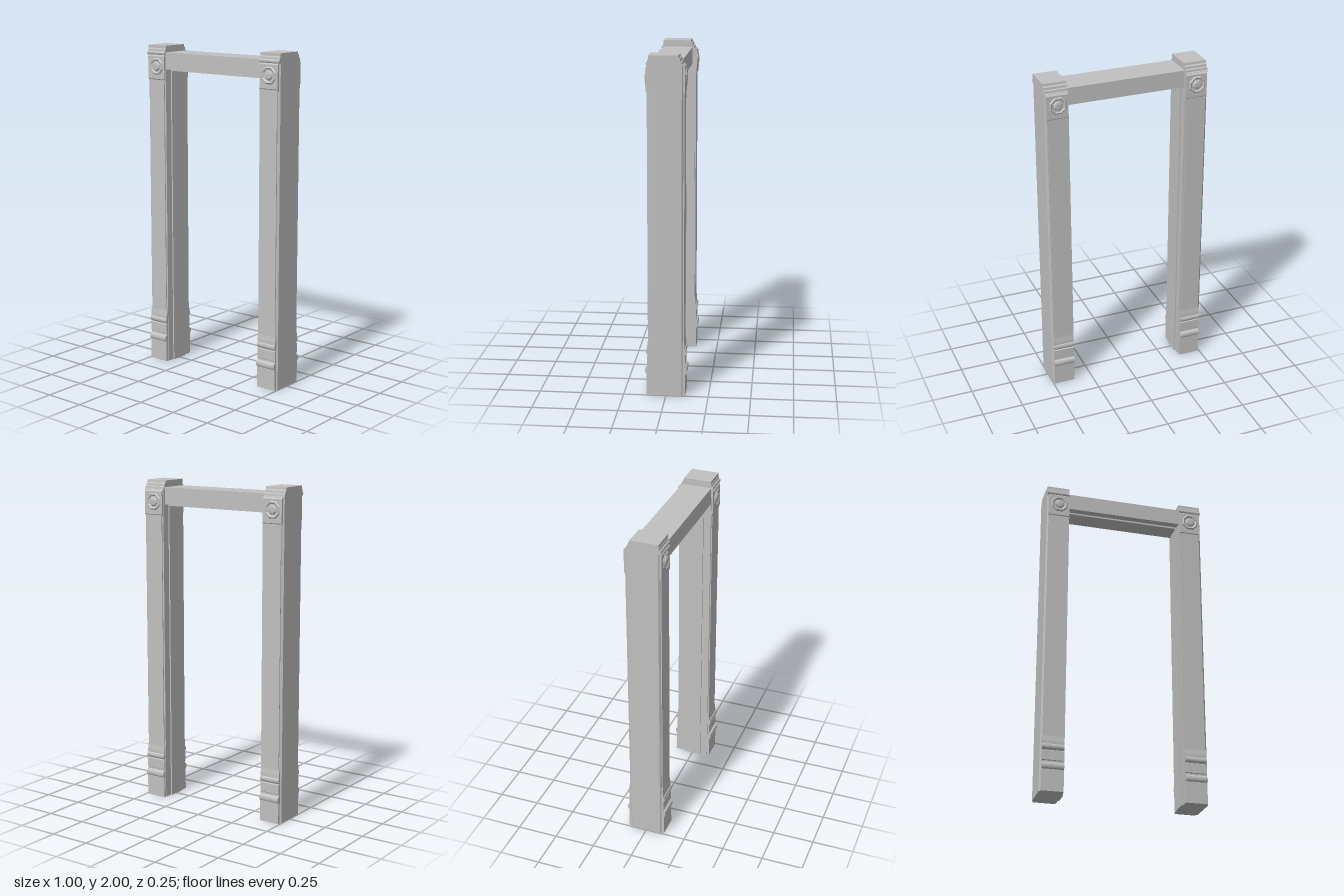
import * as THREE from 'three';

const paint = new THREE.MeshStandardMaterial({ color: 0xc0c0c0 });
paint.name = 'grey paint';

function add(parent, name, geometry, x = 0, y = 0, z = 0) {
  const mesh = new THREE.Mesh(geometry, paint);
  mesh.name = name;
  mesh.position.set(x, y, z);
  parent.add(mesh);
  return mesh;
}

function extrude(points, depth) {
  const shape = new THREE.Shape(points.map(([a, b]) => new THREE.Vector2(a, b)));
  return new THREE.ExtrudeGeometry(shape, { depth, bevelEnabled: false });
}

// Sweep a (z, y) side profile along x, centred on x = 0
function moulding(points, width) {
  return extrude(points, width).rotateY(-Math.PI / 2).translate(width / 2, 0, 0);
}

// Half-round bulge from low to high on a face at depth z
function roll(z, low, high, bulge) {
  const points = [];
  for (let i = 0; i <= 8; i++) {
    const a = Math.PI * i / 8;
    points.push([z + bulge * Math.sin(a), (low + high) / 2 - Math.cos(a) * (high - low) / 2]);
  }
  return points;
}

// Ornament on one face of a post, facing +z
function faceTrim() {
  const face = new THREE.Group();
  add(face, 'shaftPanel', new THREE.BoxGeometry(0.118, 1.52, 0.016), 0, 1.03, 0.098);
  add(face, 'plinthMoulding', moulding([
    [0.09, 0], [0.114, 0], [0.114, 0.127],
    ...roll(0.114, 0.13, 0.168, 0.01),
    [0.108, 0.172], [0.108, 0.182], [0.112, 0.185], [0.112, 0.242],
    [0.106, 0.246], [0.108, 0.25],
    ...roll(0.11, 0.252, 0.282, 0.008),
    [0.11, 0.3], [0.105, 0.34], [0.09, 0.34],
  ], 0.13));
  add(face, 'cornerBlock', moulding([
    [0.09, 1.782], [0.105, 1.782], [0.106, 1.792], [0.11, 1.796],
    [0.11, 1.935], [0.102, 1.943], [0.09, 1.943],
  ], 0.13));

  // Octagonal rosette: raised ring, hollow, and centre button
  const rosette = new THREE.LatheGeometry([
    [0.054, 0], [0.054, 0.002], [0.046, 0.008], [0.036, 0.002],
    [0.029, 0.002], [0.024, 0.008], [0.014, 0.01], [0, 0.01],
  ].map(([r, h]) => new THREE.Vector2(r, h)), 8).toNonIndexed();
  rosette.computeVertexNormals();
  rosette.rotateX(Math.PI / 2).rotateZ(Math.PI / 8);
  add(face, 'rosette', rosette, 0.003, 1.873, 0.1095);
  return face;
}

function createPost(side) {
  const post = new THREE.Group();
  post.name = side > 0 ? 'leftPost' : 'rightPost';

  // Main body with chamfered outer corners
  const plan = [[0.358, -0.1], [0.49, -0.1], [0.5, -0.092], [0.5, 0.092], [0.49, 0.1], [0.358, 0.1]]
    .map(([x, z]) => [side * x, -z]);
  add(post, 'postBody', extrude(plan, 1.945).rotateX(-Math.PI / 2));

  // Stepped cap
  add(post, 'postCap', moulding([
    [0.098, 1.94], ...roll(0.1, 1.942, 1.966, 0.009), [0.1, 1.975], [0.096, 1.983], [0.096, 2],
    [-0.072, 2], [-0.074, 1.986], [-0.082, 1.98], [-0.084, 1.966],
    [-0.091, 1.962], [-0.093, 1.948], [-0.1, 1.944], [-0.1, 1.94],
  ], 0.14), side * 0.43);

  // Same ornament front and back
  for (const [name, turn] of [['frontTrim', 0], ['backTrim', Math.PI]]) {
    const trim = faceTrim();
    trim.name = name;
    trim.position.x = side * 0.427;
    trim.rotation.y = turn;
    post.add(trim);
  }

  add(post, 'doorStop', new THREE.BoxGeometry(0.012, 1.85, 0.105), side * 0.356, 0.925, 0.002);
  return post;
}

export function createModel() {
  const model = new THREE.Group();
  model.name = 'doorFrame';
  model.add(createPost(1), createPost(-1));

  // Lintel with a stop along its underside
  add(model, 'lintel', new THREE.BoxGeometry(0.722, 0.103, 0.182), 0, 1.9085, 0.007);
  add(model, 'lintelStop', new THREE.BoxGeometry(0.716, 0.012, 0.105), 0, 1.852, 0.002);
  return model;
}
